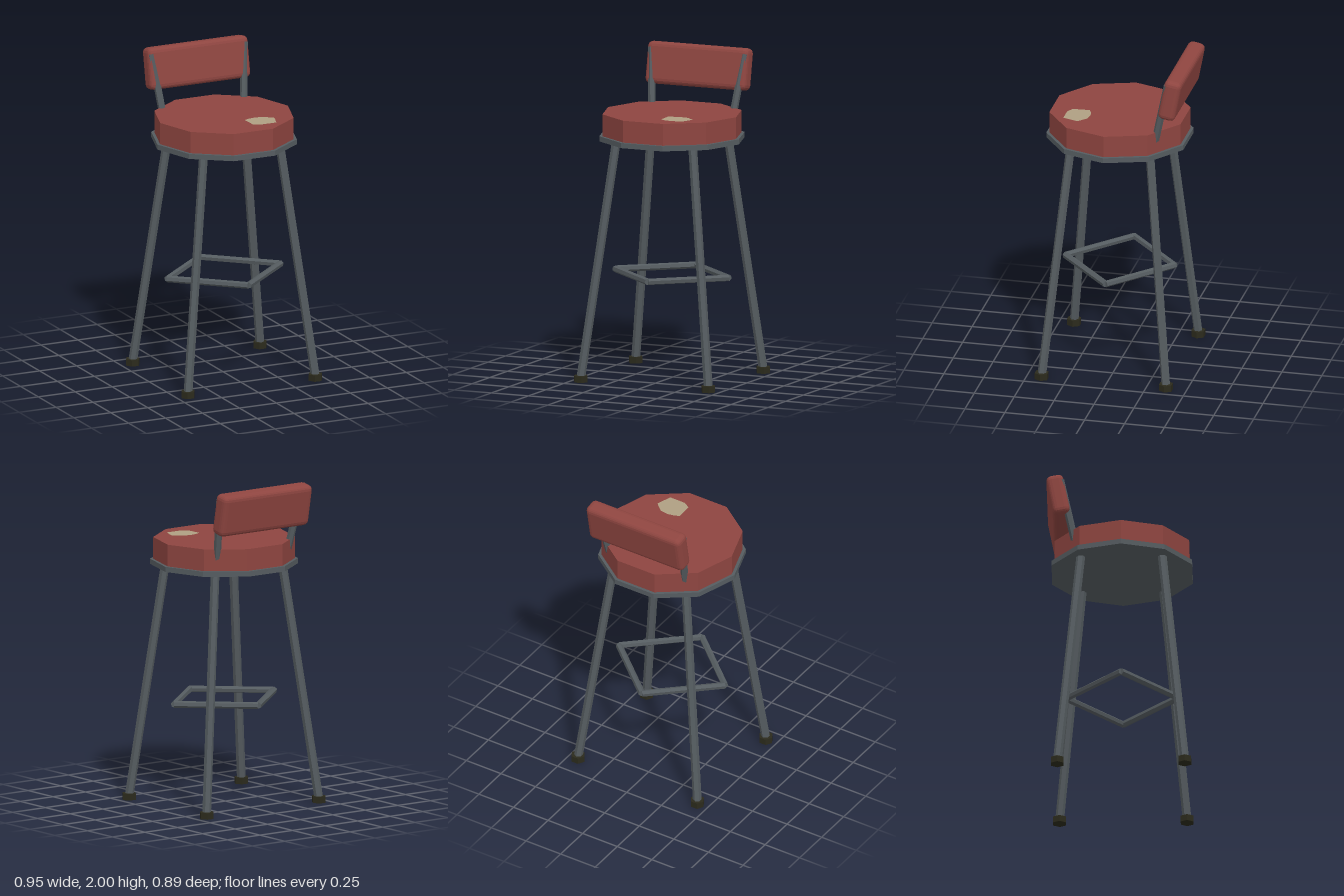
import * as THREE from 'three';
import { RoundedBoxGeometry } from 'three/addons/geometries/RoundedBoxGeometry.js';

const mat = (name, color) => {
  const m = new THREE.MeshStandardMaterial({ color, flatShading: true });
  m.name = name;
  return m;
};

export function createModel() {
  const red = mat('red upholstery', 0x8e4540);
  const steel = mat('grey steel', 0x555c60);
  const rubber = mat('dark rubber', 0x2b2a1c);
  const cream = mat('cream patch', 0xaf9f82);

  const stool = new THREE.Group();
  stool.name = 'barStool';
  const CZ = 0.014; // seat and legs sit slightly forward of the centre

  const add = (name, geometry, material, x = 0, y = 0, z = 0) => {
    const mesh = new THREE.Mesh(geometry, material);
    mesh.name = name;
    mesh.position.set(x, y, z);
    stool.add(mesh);
    return mesh;
  };

  // Six-sided bar between two points
  const bar = (name, a, b, radius) => {
    const from = new THREE.Vector3(...a), to = new THREE.Vector3(...b);
    const dir = to.clone().sub(from);
    const mesh = add(name, new THREE.CylinderGeometry(radius, radius, dir.length(), 6), steel);
    mesh.position.copy(from).add(to).multiplyScalar(0.5);
    mesh.quaternion.setFromUnitVectors(new THREE.Vector3(0, 1, 0), dir.normalize());
    return mesh;
  };

  // Ten-sided seat with corners on the x axis
  const decagon = (r, h) => new THREE.CylinderGeometry(r, r, h, 10).rotateY(Math.PI / 2);
  add('seatRim', decagon(0.451, 0.032), steel, 0, 1.489, CZ);
  add('seatCushion', decagon(0.432, 0.137), red, 0, 1.5715, CZ);

  // Worn patch on the cushion
  const outline = [[0.055, 0.19], [0.09, 0.175], [0.13, 0.167], [0.185, 0.175],
    [0.24, 0.225], [0.207, 0.32], [0.105, 0.32], [0.06, 0.295]];
  const patch = new THREE.Shape(outline.map(([x, z]) => new THREE.Vector2(x, -z)));
  add('seatPatch', new THREE.ShapeGeometry(patch).rotateX(-Math.PI / 2), cream, 0, 1.643, 0);

  // Splayed legs with rubber feet
  for (const sx of [-1, 1]) {
    for (const sz of [-1, 1]) {
      bar('leg', [sx * 0.431, 0.02, CZ + sz * 0.389], [sx * 0.258, 1.48, CZ + sz * 0.248], 0.027);
      add('foot', new THREE.CylinderGeometry(0.045, 0.045, 0.04, 6).rotateY(Math.PI / 2),
        rubber, sx * 0.431, 0.02, CZ + sz * 0.389);
    }
  }

  // Diamond-shaped foot rest
  const corners = [[0.383, 0], [0, 0.342], [-0.383, 0], [0, -0.342]];
  corners.forEach(([x, z], i) => {
    const [nx, nz] = corners[(i + 1) % 4];
    bar('footRest', [x, 0.643, CZ + z], [nx, 0.643, CZ + nz], 0.021);
  });

  // Backrest supports
  for (const s of [-1, 1]) {
    bar('backSupport', [s * 0.27, 1.56, -0.268], [s * 0.314, 1.965, -0.357], 0.023);
  }

  // Tilted padded backrest
  const back = add('backrest', new RoundedBoxGeometry(0.68, 0.26, 0.107, 2, 0.032), red, 0, 1.868, -0.372);
  back.rotation.x = -0.19;

  return stool;
}
